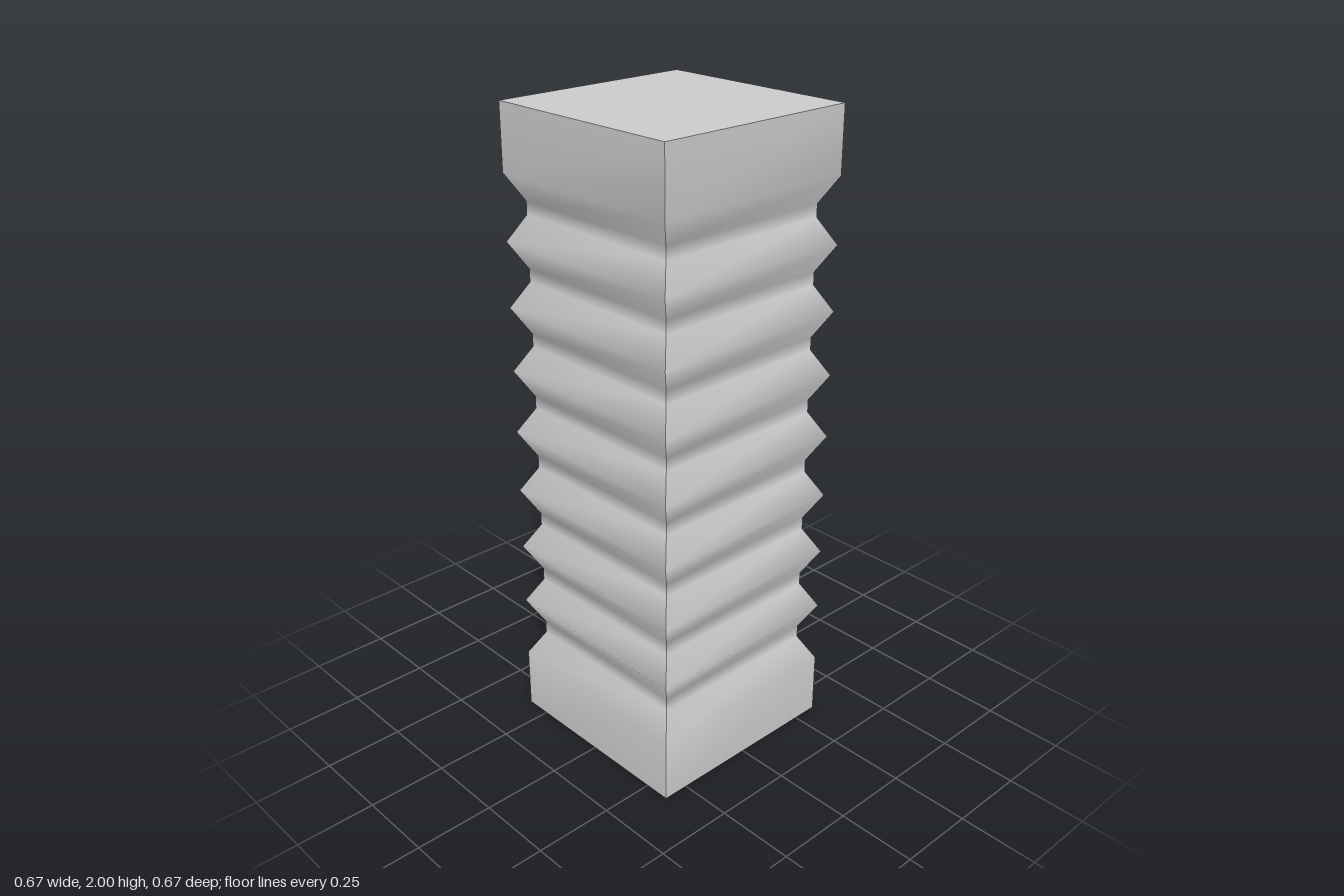
import * as THREE from 'three';

const HALF = 0.333; // half width at the ridges
const WAIST = 0.289; // half width in the grooves

export function createModel() {
  // Side profile from bottom to top: [height, half width]
  const profile = [[0, HALF], [0.2, HALF]];
  for (let i = 0; i < 8; i++) {
    const y = 0.2 + i * 0.2;
    profile.push([y + 0.08, WAIST], [y + 0.12, WAIST], [y + 0.2, HALF]);
  }
  profile.push([2, HALF]);

  // Square column: each row of box vertices takes its place on the profile
  const rows = profile.length - 1;
  const geometry = new THREE.BoxGeometry(2, rows, 2, 1, rows, 1);
  const pos = geometry.attributes.position;
  for (let i = 0; i < pos.count; i++) {
    const [y, half] = profile[Math.round(pos.getY(i) + rows / 2)];
    pos.setXYZ(i, pos.getX(i) * half, y, pos.getZ(i) * half);
  }
  // Faces stay separate at the four corners, and are smooth across the grooves
  geometry.computeVertexNormals();

  const column = new THREE.Mesh(geometry, new THREE.MeshStandardMaterial({ color: 0xcccccc }));
  column.name = 'groovedColumn';

  const model = new THREE.Group();
  model.name = 'groovedSquareColumn';
  model.add(column);
  return model;
}
